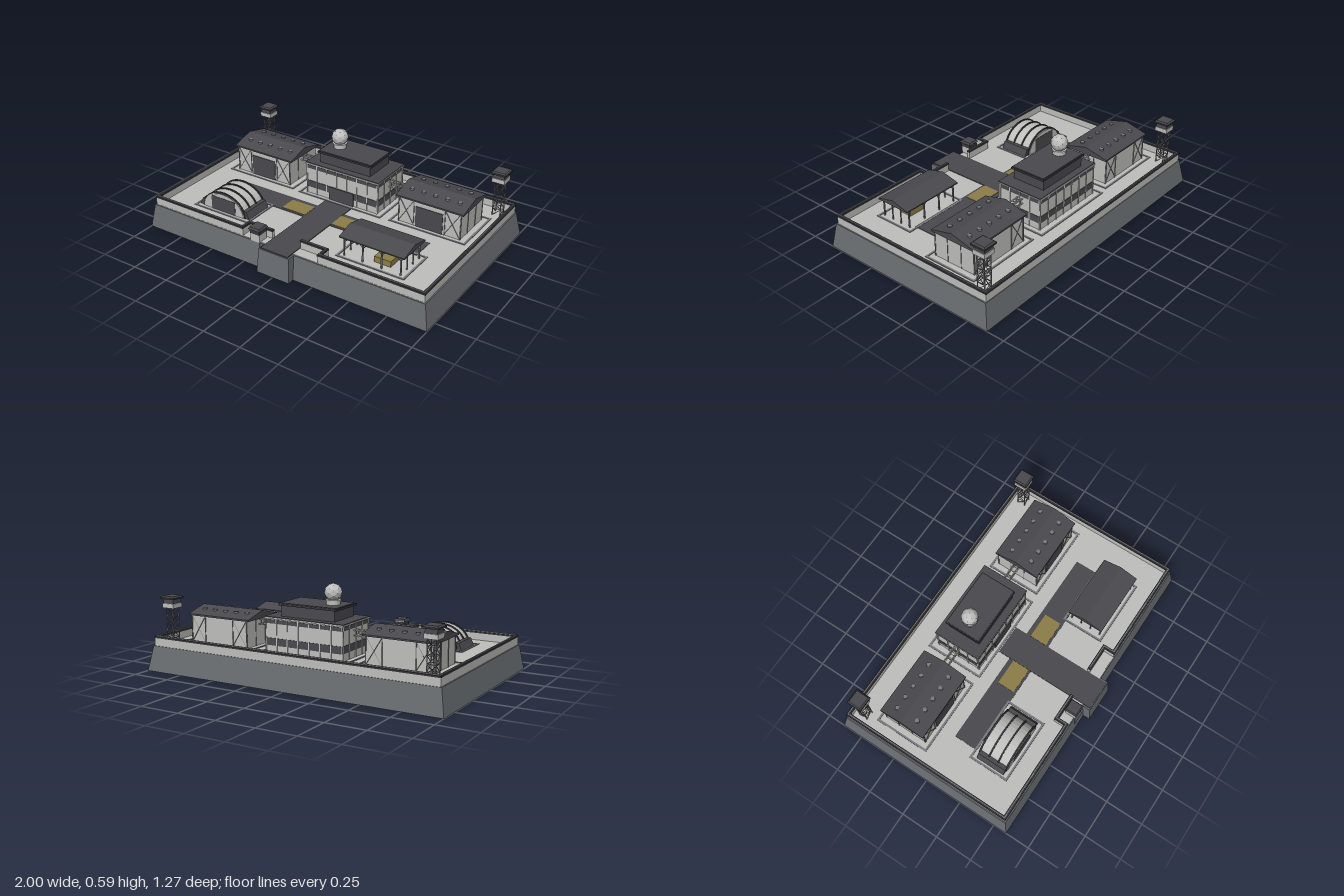
import * as THREE from 'three';

const mat = (name, color) => {
  const m = new THREE.MeshStandardMaterial({ color });
  m.name = name;
  return m;
};

export function createModel() {
  const root = new THREE.Group();
  root.name = 'militaryBase';
  const concrete = mat('concrete', 0xbfbfbd), dark = mat('darkRoof', 0x4a494e), slate = mat('slate', 0x696d71),
    trim = mat('blackTrim', 0x38383c), yellow = mat('markingYellow', 0x8c7d48), steel = mat('steel', 0x7a7b7f);
  const Y = 0.16; // ground level inside the wall

  const group = (name, parent = root) => {
    const g = new THREE.Group();
    g.name = name;
    parent.add(g);
    return g;
  };
  const add = (parent, name, geo, m) => {
    const mesh = new THREE.Mesh(geo, m);
    mesh.name = name;
    parent.add(mesh);
    return mesh;
  };
  // box given by its limits on each axis
  const box = (p, name, m, x0, x1, y0, y1, z0, z1) => {
    const g = new THREE.BoxGeometry(x1 - x0, y1 - y0, z1 - z0);
    g.translate((x0 + x1) / 2, (y0 + y1) / 2, (z0 + z1) / 2);
    return add(p, name, g, m);
  };
  const toShape = pts => new THREE.Shape(pts.map(q => new THREE.Vector2(...q)));
  // profile of [z, y] points drawn out along x
  const prismX = (p, name, m, pts, x0, x1) => {
    const g = new THREE.ExtrudeGeometry(toShape(pts), { depth: x1 - x0, bevelEnabled: false });
    g.rotateY(-Math.PI / 2).translate(x1, 0, 0);
    return add(p, name, g, m);
  };
  const prismZ = (p, name, m, pts, z0, z1) => {
    const g = new THREE.ExtrudeGeometry(toShape(pts), { depth: z1 - z0, bevelEnabled: false });
    return add(p, name, g.translate(0, 0, z0), m);
  };
  // square bar between two points
  const beam = (p, name, m, a, b, t) => {
    const A = new THREE.Vector3(...a), B = new THREE.Vector3(...b);
    const mesh = add(p, name, new THREE.BoxGeometry(t, t, A.distanceTo(B)), m);
    mesh.position.copy(A).lerp(B, 0.5);
    mesh.quaternion.setFromUnitVectors(new THREE.Vector3(0, 0, 1), B.sub(A).normalize());
    return mesh;
  };
  // block whose top is smaller than its bottom
  const frustum = (p, name, m, bot, top, y0, y1) => {
    const g = new THREE.BoxGeometry(1, 1, 1), a = g.attributes.position;
    for (let i = 0; i < a.count; i++) {
      const up = a.getY(i) > 0, r = up ? top : bot;
      a.setXYZ(i, a.getX(i) > 0 ? r[1] : r[0], up ? y1 : y0, a.getZ(i) > 0 ? r[3] : r[2]);
    }
    g.computeVertexNormals();
    return add(p, name, g, m);
  };
  // flat rectangular outline
  const border = (p, x0, x1, z0, z1, t = 0.013) => {
    box(p, 'padEdge', steel, x0, x1, Y, Y + 0.004, z0, z0 + t);
    box(p, 'padEdge', steel, x0, x1, Y, Y + 0.004, z1 - t, z1);
    box(p, 'padEdge', steel, x0, x0 + t, Y, Y + 0.004, z0 + t, z1 - t);
    box(p, 'padEdge', steel, x1 - t, x1, Y, Y + 0.004, z0 + t, z1 - t);
  };

  // sloped base with a ground slab
  const base = group('base');
  frustum(base, 'slopedBase', slate, [-1, 1, -0.635, 0.59], [-0.972, 0.972, -0.605, 0.568], 0, 0.156);
  frustum(base, 'gateBlock', slate, [-0.115, 0.115, 0.4, 0.635], [-0.108, 0.108, 0.4, 0.62], 0, 0.157);
  box(base, 'groundSlab', concrete, -0.963, 0.963, 0.15, Y, -0.598, 0.562);

  // parapet wall with a recess and an opening at the gate
  const path = [[0.11, 0.482], [0.278, 0.482], [0.278, 0.552], [0.955, 0.552], [0.955, -0.592], [0, -0.592]];
  const wall = group('perimeterWall');
  for (const [name, m, t, y0, y1] of [['wallBody', concrete, 0.009, 0.155, 0.206],
    ['wallCap', trim, 0.011, 0.205, 0.215], ['wallRail', steel, 0.003, 0.215, 0.222]])
    for (const s of [-1, 1]) for (let i = 0; i < path.length - 1; i++) {
      const [ax, az] = path[i], [bx, bz] = path[i + 1];
      box(wall, name, m, Math.min(s * ax, s * bx) - t, Math.max(s * ax, s * bx) + t, y0, y1,
        Math.min(az, bz) - t, Math.max(az, bz) + t);
    }

  // roads and yellow bays
  const roads = group('roads');
  box(roads, 'crossRoad', dark, -0.7, 0.7, Y, Y + 0.003, 0.02, 0.18);
  box(roads, 'mainRoad', dark, -0.097, 0.097, 0.15, Y + 0.005, -0.06, 0.616);
  for (const s of [-1, 1])
    box(roads, 'yellowBay', yellow, s * 0.185 - 0.087, s * 0.185 + 0.087, Y, Y + 0.006, 0.05, 0.165);

  // guard booth beside the gate
  const booth = group('guardBooth');
  frustum(booth, 'boothFooting', slate, [-0.212, -0.13, 0.48, 0.582], [-0.203, -0.137, 0.48, 0.572], 0.08, 0.157);
  box(booth, 'boothBody', concrete, -0.203, -0.137, 0.157, 0.238, 0.503, 0.572);
  box(booth, 'boothWindow', trim, -0.205, -0.135, 0.208, 0.23, 0.501, 0.574);
  frustum(booth, 'boothRoof', dark, [-0.212, -0.128, 0.495, 0.582], [-0.205, -0.135, 0.502, 0.575], 0.236, 0.25);

  // headquarters with two tiers and a radar dome
  const hq = group('headquarters');
  border(hq, -0.31, 0.305, -0.455, -0.065);
  box(hq, 'mainBlock', concrete, -0.262, 0.262, Y, 0.372, -0.405, -0.1);
  for (const [y0, y1, n] of [[0.205, 0.25, 'lowerWindows'], [0.338, 0.362, 'upperWindows']])
    box(hq, n, dark, -0.265, 0.265, y0, y1, -0.408, -0.097);
  for (let i = 0; i < 8; i++) for (const z of [-0.408, -0.097]) {
    const x = -0.262 + i * 0.0749;
    box(hq, 'pilaster', concrete, x - 0.003, x + 0.003, Y, 0.37, z - 0.002, z + 0.002);
  }
  for (let i = 0; i < 5; i++) for (const x of [-0.265, 0.265]) {
    const z = -0.4 + i * 0.0737;
    box(hq, 'pilaster', concrete, x - 0.002, x + 0.002, Y, 0.37, z - 0.003, z + 0.003);
  }
  box(hq, 'entrance', dark, -0.09, 0.09, Y, 0.25, -0.1, -0.092);
  box(hq, 'roofSlab', concrete, -0.272, 0.272, 0.366, 0.374, -0.412, -0.093);
  box(hq, 'roofDeck', dark, -0.27, 0.27, 0.374, 0.379, -0.41, -0.095);
  box(hq, 'upperTier', dark, -0.187, 0.182, 0.379, 0.447, -0.366, -0.142);
  box(hq, 'upperRoof', trim, -0.203, 0.195, 0.444, 0.456, -0.373, -0.132);
  box(hq, 'upperRoofDeck', dark, -0.196, 0.188, 0.456, 0.46, -0.367, -0.139);
  const round = (name, r, y0, y1) => add(hq, name, new THREE.CylinderGeometry(r, r, y1 - y0, 12), concrete)
    .position.set(-0.113, (y0 + y1) / 2, -0.253);
  round('domeNeck', 0.042, 0.458, 0.484);
  round('domeCollar', 0.047, 0.482, 0.491);
  const dome = new THREE.IcosahedronGeometry(0.054, 1);
  dome.computeVertexNormals();
  add(hq, 'radarDome', dome, concrete).position.set(-0.113, 0.532, -0.253);

  // barracks, walkways and watchtowers on both sides
  for (const s of [-1, 1]) {
    const b = group(s > 0 ? 'leftBarracks' : 'rightBarracks');
    b.position.x = s * 0.62;
    border(b, -0.26, 0.26, -0.44, -0.073);
    box(b, 'walls', concrete, -0.21, 0.21, Y, 0.332, -0.4, -0.11);
    prismX(b, 'gableRoof', dark, [[-0.1, 0.329], [-0.1, 0.339], [-0.255, 0.378], [-0.41, 0.339], [-0.41, 0.329]],
      -0.228, 0.228);
    box(b, 'frontDoor', dark, -0.092, 0.092, Y, 0.296, -0.111, -0.106);
    for (const z of [-0.402, -0.108]) for (const e of [-1, 1]) {
      for (const x of [0.105, 0.208])
        box(b, 'sidePilaster', steel, e * x - 0.003, e * x + 0.003, Y, 0.33, z - 0.002, z + 0.002);
      for (const d of [-1, 1])
        beam(b, 'wallBrace', steel, [e * 0.156 - d * 0.048, 0.17, z], [e * 0.156 + d * 0.048, 0.325, z], 0.003);
    }
    for (const x of [-0.211, 0.211]) for (const z of [-0.398, -0.305, -0.205, -0.112])
      box(b, 'endPilaster', steel, x - 0.002, x + 0.002, Y, 0.33, z - 0.002, z + 0.002);
    for (let i = 0; i < 5; i++) for (const z of [-0.328, -0.182])
      add(b, 'roofVent', new THREE.CylinderGeometry(0.014, 0.014, 0.024, 8), steel)
        .position.set((i - 2) * 0.081, 0.356, z);

    // raised walkway to the headquarters
    const w = group('walkway');
    for (const z of [-0.274, -0.24]) {
      for (const y of [0.293, 0.324])
        beam(w, 'walkwayRail', concrete, [s * 0.26, y, z], [s * 0.41, y, z], 0.006);
      for (const x of [0.28, 0.335, 0.39])
        beam(w, 'walkwayPost', concrete, [s * x, 0.293, z], [s * x, 0.324, z], 0.004);
      beam(w, 'walkwayBrace', concrete, [s * 0.28, 0.293, z], [s * 0.39, 0.324, z], 0.003);
    }
    for (let i = 0; i < 4; i++)
      beam(w, 'crossTie', concrete, [s * (0.285 + i * 0.033), 0.324, -0.274], [s * (0.285 + i * 0.033), 0.324, -0.24], 0.004);

    // lattice watchtower
    const t = group('watchtower');
    t.position.set(s * 0.884, 0, -0.52);
    const c = 0.026, corners = [[c, c], [c, -c], [-c, -c], [-c, c]];
    corners.forEach(([x, z], i) => {
      const [x2, z2] = corners[(i + 1) % 4];
      beam(t, 'towerLeg', steel, [x, Y, z], [x, 0.395, z], 0.005);
      for (let k = 0; k < 5; k++) {
        const y = Y + k * 0.0465, f = k % 2;
        beam(t, 'towerBrace', steel, [f ? x2 : x, y, f ? z2 : z], [f ? x : x2, y + 0.0465, f ? z : z2], 0.003);
        beam(t, 'towerRing', steel, [x, y + 0.0465, z], [x2, y + 0.0465, z2], 0.003);
      }
    });
    box(t, 'towerCabin', concrete, -0.042, 0.042, 0.392, 0.42, -0.042, 0.042);
    box(t, 'towerWindows', dark, -0.037, 0.037, 0.42, 0.45, -0.037, 0.037);
    box(t, 'towerRoof', trim, -0.05, 0.05, 0.448, 0.458, -0.05, 0.05);
    frustum(t, 'towerRoofTop', dark, [-0.048, 0.048, -0.048, 0.048], [-0.04, 0.04, -0.04, 0.04], 0.458, 0.466);
  }

  // arched hangar with ribs
  const hangar = group('archedHangar');
  border(hangar, -0.76, -0.333, 0.165, 0.435);
  const arc = (rx, ry) => Array.from({ length: 17 }, (_, i) =>
    [-0.545 + rx * Math.cos(i * Math.PI / 16), Y + ry * Math.sin(i * Math.PI / 16)]);
  prismZ(hangar, 'hangarShell', concrete, arc(0.158, 0.124), 0.2, 0.402);
  for (const z of [0.205, 0.27, 0.335, 0.397])
    prismZ(hangar, 'hangarRib', trim, arc(0.165, 0.131), z - 0.005, z + 0.005);
  for (const z of [0.199, 0.403]) {
    prismZ(hangar, 'hangarEnd', concrete, arc(0.153, 0.119), z - 0.002, z + 0.002);
    box(hangar, 'hangarDoor', dark, -0.638, -0.452, Y, 0.252, z - 0.004, z + 0.004);
  }
  for (const s of [-1, 1])
    prismZ(hangar, 'sideButtress', dark, s > 0 ? [[-0.42, Y], [-0.352, Y], [-0.372, 0.205], [-0.42, 0.205]]
      : [[-0.67, Y], [-0.67, 0.205], [-0.718, 0.205], [-0.738, Y]], 0.205, 0.398);

  // open shelter with a gable roof
  const shelter = group('vehicleShelter');
  border(shelter, 0.31, 0.765, 0.16, 0.44);
  prismX(shelter, 'shelterRoof', dark, [[0.425, 0.28], [0.425, 0.287], [0.304, 0.317], [0.183, 0.287],
    [0.183, 0.28]], 0.325, 0.755);
  for (const z of [0.2, 0.408]) {
    beam(shelter, 'eaveBeam', steel, [0.34, 0.277, z], [0.74, 0.277, z], 0.007);
    for (let i = 0; i < 4; i++) {
      const x = 0.352 + i * 0.125;
      beam(shelter, 'shelterPost', steel, [x, Y, z], [x, 0.28, z], 0.008);
      for (const d of [-1, 1]) if (x + d * 0.03 > 0.33 && x + d * 0.03 < 0.75)
        beam(shelter, 'postBrace', steel, [x, 0.25, z], [x + d * 0.028, 0.278, z], 0.004);
    }
  }
  for (const x of [0.352, 0.727]) {
    beam(shelter, 'endBeam', steel, [x, 0.277, 0.2], [x, 0.277, 0.408], 0.007);
    for (const z of [0.27, 0.338]) beam(shelter, 'endPost', steel, [x, Y, z], [x, 0.28, z], 0.006);
  }
  box(shelter, 'crate', yellow, 0.53, 0.64, Y, 0.197, 0.28, 0.37);
  return root;
}
